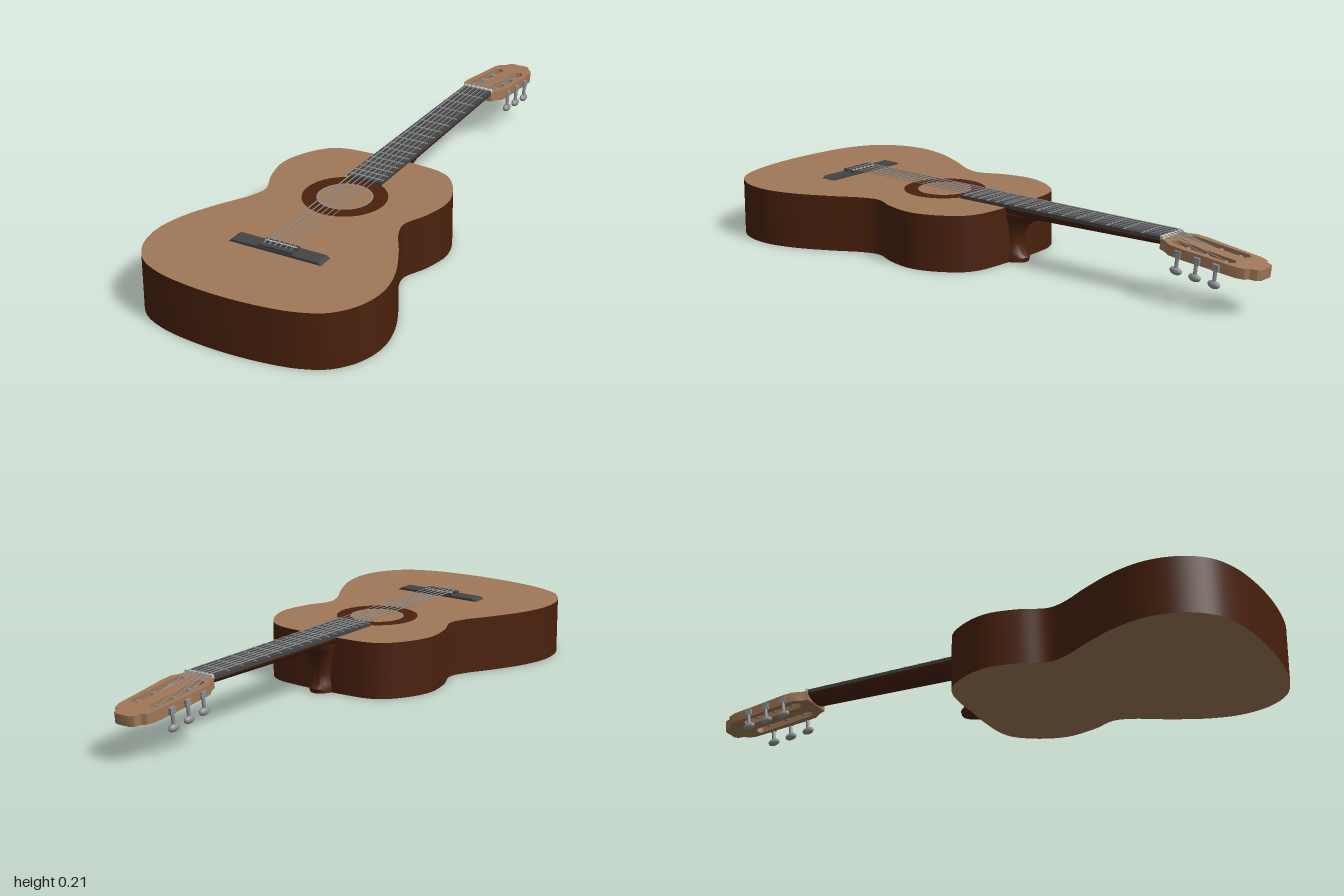
import * as THREE from 'three';
import { toCreasedNormals } from 'three/addons/utils/BufferGeometryUtils.js';

const CX = -0.005, TOP = 0.188, NUT = -0.65, END = 0.16, SADDLE = 0.67;

const mat = (name, color) => {
  const m = new THREE.MeshStandardMaterial({ color });
  m.name = name;
  return m;
};

// Closed smooth outline mirrored from one half, listed from top to bottom on the centre line
function mirroredOutline(half, steps) {
  const inner = half.slice(1, -1).reverse().map(([x, z]) => [-x, z]);
  const pts = [...half, ...inner].map(([x, z]) => new THREE.Vector3(x, z, 0));
  const curve = new THREE.CatmullRomCurve3(pts, true, 'centripetal');
  return new THREE.Shape(curve.getPoints(steps).slice(0, -1).map(p => new THREE.Vector2(p.x, p.y)));
}

// Horizontal slab: shape is drawn in x/z, its upper face lies at y = top
function slab(shape, top, height) {
  const g = new THREE.ExtrudeGeometry(shape, { depth: height, bevelEnabled: false, curveSegments: 10 });
  g.rotateX(Math.PI / 2).translate(0, top, 0);
  return toCreasedNormals(g, 0.6);
}

// Skin over equal-sized rings, with flat ends
function loft(rings) {
  const n = rings[0].length, pos = rings.flat(2), idx = [], last = (rings.length - 1) * n;
  for (let i = 0; i < rings.length - 1; i++) {
    for (let j = 0; j < n; j++) {
      const a = i * n + j, b = i * n + (j + 1) % n;
      idx.push(a, b, a + n, b, b + n, a + n);
    }
  }
  for (let j = 1; j < n - 1; j++) idx.push(0, j + 1, j, last, last + j, last + j + 1);
  const g = new THREE.BufferGeometry();
  g.setAttribute('position', new THREE.Float32BufferAttribute(pos, 3));
  g.setIndex(idx);
  g.computeVertexNormals();
  return toCreasedNormals(g, 0.8);
}

// Half-ellipse ring; place turns (across, outward) into a point
const halfRing = place => Array.from({ length: 15 }, (_, j) => {
  const t = Math.PI * j / 14;
  return place(Math.cos(t), Math.sin(t));
});

// Round bar between two points
function rod(a, b, r, sides = 6) {
  const A = new THREE.Vector3(...a), B = new THREE.Vector3(...b), d = B.clone().sub(A);
  const g = new THREE.CylinderGeometry(r, r, d.length(), sides);
  g.applyQuaternion(new THREE.Quaternion().setFromUnitVectors(new THREE.Vector3(0, 1, 0), d.normalize()));
  return g.translate((A.x + B.x) / 2, (A.y + B.y) / 2, (A.z + B.z) / 2);
}

export function createModel() {
  const tan = mat('paleWood', 0xa07858);
  const brown = mat('darkWood', 0x4a210d);
  const dark = mat('charcoal', 0x444444);
  const metal = mat('metal', 0x8c8f92);
  const ivory = mat('ivory', 0xd0ccc2);

  const guitar = new THREE.Group();
  guitar.name = 'guitar';
  guitar.position.x = CX;
  const add = (name, geo, material, parent = guitar) => {
    const m = new THREE.Mesh(geo, material);
    m.name = name;
    parent.add(m);
    return m;
  };
  const box = (w, h, d, x, y, z) => new THREE.BoxGeometry(w, h, d).translate(x, y, z);

  // Hollow-look body: pale top and back, dark sides
  const body = mirroredOutline([
    [0, -0.031], [0.12, -0.028], [0.175, -0.02], [0.222, 0.003], [0.275, 0.075], [0.302, 0.165],
    [0.284, 0.27], [0.25, 0.355], [0.264, 0.415], [0.322, 0.52], [0.376, 0.64], [0.396, 0.745],
    [0.378, 0.845], [0.322, 0.925], [0.24, 0.967], [0.14, 0.988], [0, 0.997],
  ], 160);
  add('body', slab(body, TOP, TOP), [tan, brown]);

  // Sound hole surround
  const ring = (r0, r1, y) => new THREE.RingGeometry(r0, r1, 48).rotateX(-Math.PI / 2).translate(0, y, 0.285);
  add('rosette', ring(0.09, 0.137, TOP + 0.002), brown);
  add('soundHoleRing', ring(0.085, 0.09, TOP + 0.002), metal);

  // Bridge with tie block and saddle
  const wing = new THREE.Shape([[-0.162, 0], [0.162, 0], [0.15, 0.008], [-0.15, 0.008]]
    .map(p => new THREE.Vector2(...p)));
  add('bridge', new THREE.ExtrudeGeometry(wing, { depth: 0.054, bevelEnabled: false })
    .translate(0, TOP, 0.651), dark);
  add('tieBlock', box(0.12, 0.014, 0.022, 0, TOP + 0.009, 0.692), dark);
  add('saddleBlock', box(0.12, 0.012, 0.02, 0, TOP + 0.008, 0.663), dark);
  add('saddle', box(0.11, 0.003, 0.004, 0, TOP + 0.0145, SADDLE - 0.004), ivory);

  // Neck shaft, rounded underneath
  const halfWidth = z => THREE.MathUtils.mapLinear(z, NUT, END, 0.053, 0.062);
  const shaft = [[-0.01, 0.042], [-0.15, 0.036], [-0.4, 0.031], [NUT, 0.026]].map(([z, d]) =>
    halfRing((c, s) => [c * halfWidth(z), 0.19 - s * d, z]));
  add('neck', loft(shaft), brown);

  // Heel, sweeping from the body base up into the neck
  const heel = [
    [0, 0.073, 0.046], [0.015, 0.078, 0.047], [0.03, 0.064, 0.044], [0.06, 0.057, 0.043],
    [0.09, 0.06, 0.044], [0.12, 0.074, 0.047], [0.14, 0.098, 0.051], [0.155, 0.145, 0.055], [0.166, 0.2, 0.056],
  ].map(([y, reach, w]) => halfRing((c, s) => [c * w, y, -s * reach]));
  add('heel', loft(heel), brown);

  // Fretboard, frets and nut
  const board = new THREE.Shape([[-0.053, NUT], [0.053, NUT], [0.062, END], [-0.062, END]]
    .map(p => new THREE.Vector2(...p)));
  add('fretboard', slab(board, 0.199, 0.012), dark);
  for (let n = 1; n <= 16; n++) {
    const z = NUT + (SADDLE - NUT) * (1 - 2 ** (-n / 12));
    add('fret', box(2 * halfWidth(z), 0.003, 0.005, 0, 0.1995, z), metal);
  }
  add('nut', box(0.108, 0.014, 0.01, 0, 0.196, NUT), ivory);

  // Slotted headstock, tilted back
  const head = new THREE.Group();
  head.name = 'headstock';
  head.position.set(0, 0.194, NUT);
  head.rotation.x = -0.115;
  guitar.add(head);
  const right = [[0.054, 0.003], [0.06, -0.018], [0.077, -0.045], [0.079, -0.09], [0.073, -0.2],
    [0.07, -0.285], [0.06, -0.312], [0.045, -0.32], [0.038, -0.342], [0.025, -0.35]];
  const plate = new THREE.Shape([...right, ...right.map(([x, z]) => [-x, z]).reverse()]
    .map(p => new THREE.Vector2(...p)));
  for (const s of [-1, 1]) {
    const slot = new THREE.Path();
    slot.absarc(s * 0.039, -0.245, 0.017, Math.PI, 2 * Math.PI, false);
    slot.absarc(s * 0.039, -0.052, 0.017, 0, Math.PI, false);
    slot.closePath();
    plate.holes.push(slot);
  }
  add('headPlate', slab(plate, 0, 0.034), tan, head);

  // Tuners: roller across the slot, post and button under the edge
  const tunerZ = [-0.082, -0.152, -0.222];
  for (const s of [-1, 1]) {
    for (const z of tunerZ) {
      const tuner = new THREE.Group();
      tuner.name = 'tuner';
      tuner.position.z = z;
      head.add(tuner);
      add('roller', rod([s * 0.012, -0.016, 0], [s * 0.08, -0.016, 0], 0.007, 10), metal, tuner);
      add('gearHousing', box(0.01, 0.022, 0.022, s * 0.079, -0.02, 0), metal, tuner);
      add('post', rod([s * 0.079, -0.02, 0], [s * 0.079, -0.068, 0], 0.006, 10), metal, tuner);
      add('button', new THREE.SphereGeometry(1, 16, 10).scale(0.011, 0.013, 0.022)
        .translate(s * 0.079, -0.073, 0), metal, tuner);
    }
  }

  // Strings, running from tie block over the nut to the rollers
  head.updateMatrix();
  for (let i = 0; i < 6; i++) {
    const k = i - 2.5, s = Math.sign(k), r = 0.0022 - i * 0.0002;
    const atNut = [k * 0.0165, 0.204, NUT], atSaddle = [k * 0.019, 0.205, SADDLE + 0.02];
    const roller = new THREE.Vector3(s * (0.03 + 0.004 * Math.abs(k)), -0.009, tunerZ[i < 3 ? i : 5 - i]);
    add('string', rod(atSaddle, atNut, r), metal);
    add('stringEnd', rod(atNut, roller.applyMatrix4(head.matrix).toArray(), r), metal);
  }

  const model = new THREE.Group();
  model.name = 'classicalGuitar';
  model.add(guitar);
  return model;
}
